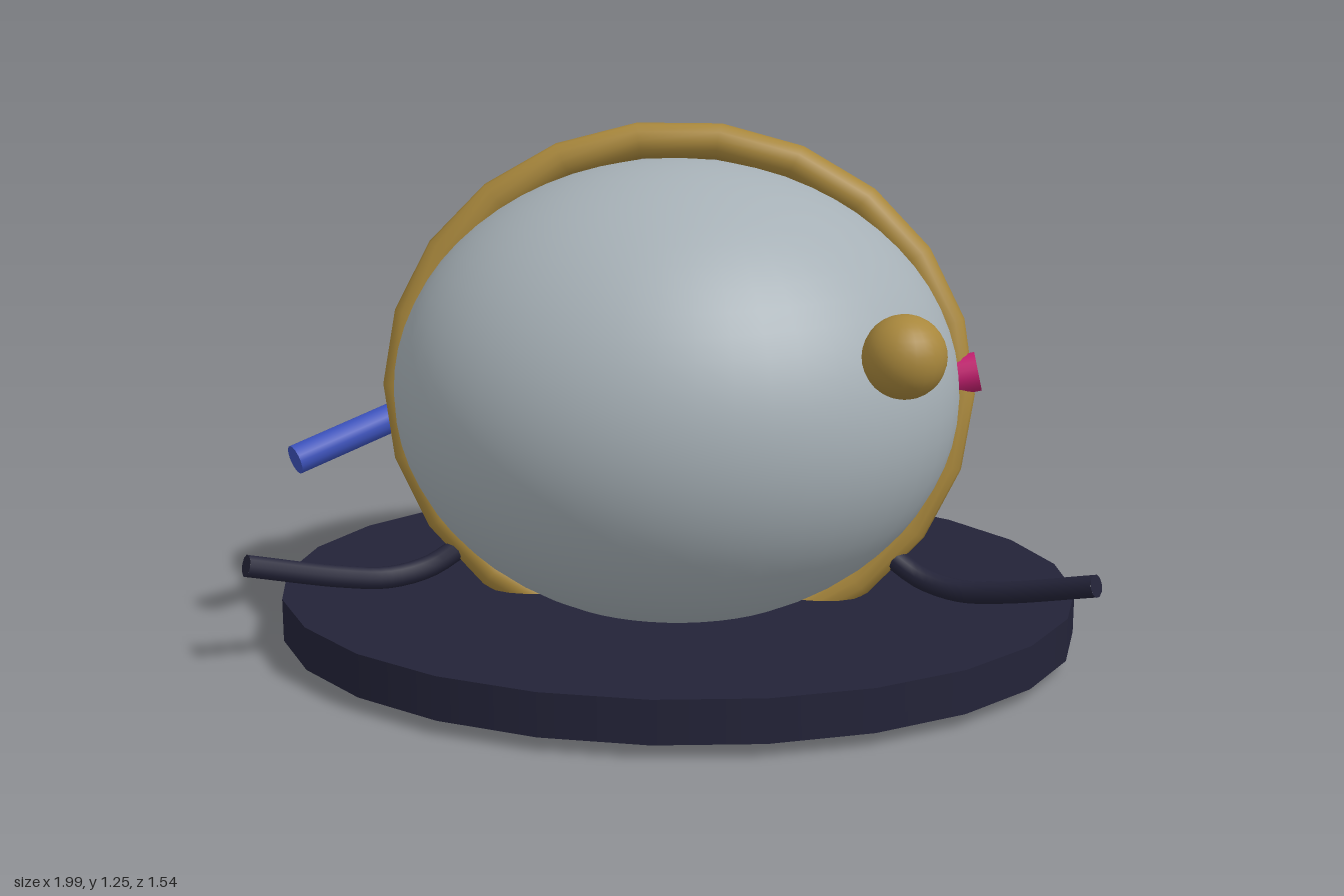
import * as THREE from 'three';

const mat = (name, color) => {
  const m = new THREE.MeshStandardMaterial({ color });
  m.name = name;
  return m;
};

export function createModel() {
  const group = new THREE.Group();
  const grey = mat('pale grey', 0xa6b0b6);
  const gold = mat('gold', 0xa8873c);
  const dark = mat('dark navy', 0x232338);
  const blue = mat('blue', 0x3c52bc);
  const pink = mat('pink', 0xc42070);

  const add = (name, geometry, material, x = 0, y = 0, z = 0) => {
    const mesh = new THREE.Mesh(geometry, material);
    mesh.name = name;
    mesh.position.set(x, y, z);
    group.add(mesh);
    return mesh;
  };
  // Cylinder running between two points
  const rod = (name, a, b, radius, sides, material) => {
    const dir = b.clone().sub(a);
    const mesh = add(name, new THREE.CylinderGeometry(radius, radius, dir.length(), sides), material);
    mesh.position.copy(a).add(b).multiplyScalar(0.5);
    mesh.quaternion.setFromUnitVectors(new THREE.Vector3(0, 1, 0), dir.normalize());
    return mesh;
  };

  // Egg-shaped body
  add('body', new THREE.SphereGeometry(1, 48, 32), grey, 0, 0.627, 0).scale.set(0.675, 0.55, 0.63);

  // Oval base disc
  const base = new THREE.CylinderGeometry(1, 1, 0.105, 24);
  add('base', base, dark, 0, 0.088, 0).scale.set(0.965, 1, 0.77);

  // Leaning band around the body
  const band = add('band', new THREE.TorusGeometry(0.597, 0.043, 12, 22), gold, 0, 0.627, 0);
  band.scale.x = 1.11;
  band.rotation.x = -0.154;

  // Ball at the front left
  add('ball', new THREE.SphereGeometry(0.093, 24, 16), gold, 0.53, 0.835, 0.485);

  // Button on the band
  rod('button', new THREE.Vector3(0.645, 0.668, 0), new THREE.Vector3(0.716, 0.684, 0), 0.047, 16, pink);

  // Spout on the right side
  rod('spout', new THREE.Vector3(-0.56, 0.575, -0.16), new THREE.Vector3(-0.91, 0.46, 0.1), 0.036, 16, blue);

  // Bent arms with closed ends
  for (const s of [1, -1]) {
    const points = [[0.52, 0.24, 0.065], [0.59, 0.2, 0.1], [0.68, 0.186, 0.15], [0.78, 0.206, 0.212], [0.98, 0.27, 0.335]]
      .map(([x, y, z]) => new THREE.Vector3(s * x, y, z));
    const curve = new THREE.CatmullRomCurve3(points);
    add(s > 0 ? 'leftArm' : 'rightArm', new THREE.TubeGeometry(curve, 20, 0.027, 10), dark);
    for (const t of [0, 1]) {
      const cap = add('armEnd', new THREE.CircleGeometry(0.027, 10), dark);
      cap.position.copy(curve.getPointAt(t));
      const out = curve.getTangentAt(t).multiplyScalar(t ? 1 : -1);
      cap.quaternion.setFromUnitVectors(new THREE.Vector3(0, 0, 1), out);
    }
  }
  return group;
}
